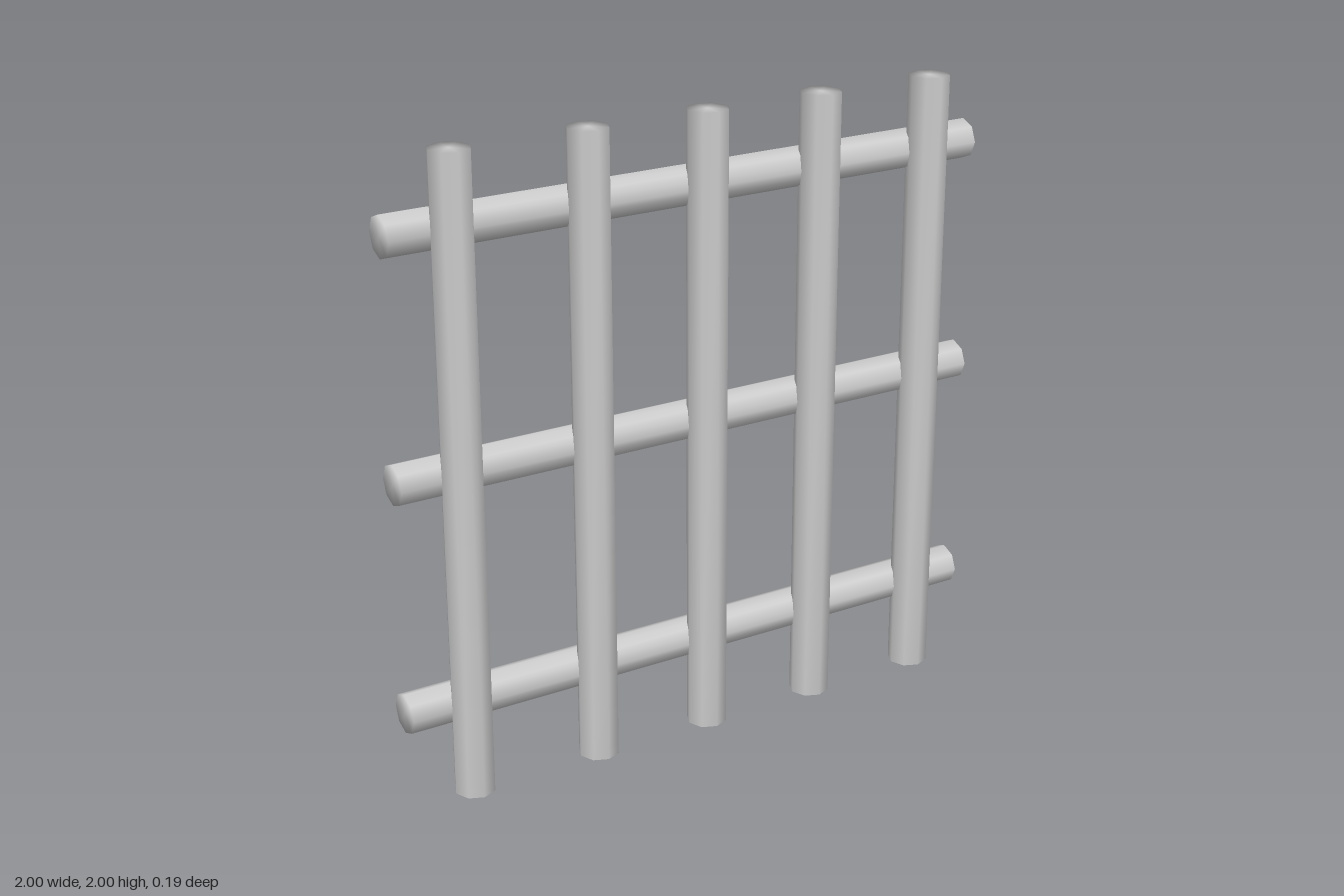
import * as THREE from 'three';
import { mergeVertices } from 'three/addons/utils/BufferGeometryUtils.js';

// Eight-sided rod whose shading runs smoothly over sides and ends
function rodGeometry(radius, length) {
  const g = new THREE.CylinderGeometry(radius, radius, length, 8, 1);
  g.deleteAttribute('normal');
  g.deleteAttribute('uv');
  const merged = mergeVertices(g, 1e-4);
  merged.computeVertexNormals();
  return merged;
}

export function createModel() {
  const group = new THREE.Group();
  group.name = 'barLattice';
  const material = new THREE.MeshStandardMaterial({ color: 0xcccccc });
  const rod = rodGeometry(0.064, 2);
  const offset = 0.032; // the two layers overlap where they cross

  // Upright bars in the front layer
  [-0.81, -0.38, 0.015, 0.41, 0.81].forEach((x, i) => {
    const bar = new THREE.Mesh(rod, material);
    bar.name = `uprightBar${i + 1}`;
    bar.position.set(x, 1, offset);
    group.add(bar);
  });

  // Cross bars in the back layer
  [0.28, 1.02, 1.76].forEach((y, i) => {
    const bar = new THREE.Mesh(rod, material);
    bar.name = `crossBar${i + 1}`;
    bar.rotation.z = Math.PI / 2;
    bar.position.set(0, y, -offset);
    group.add(bar);
  });

  return group;
}
